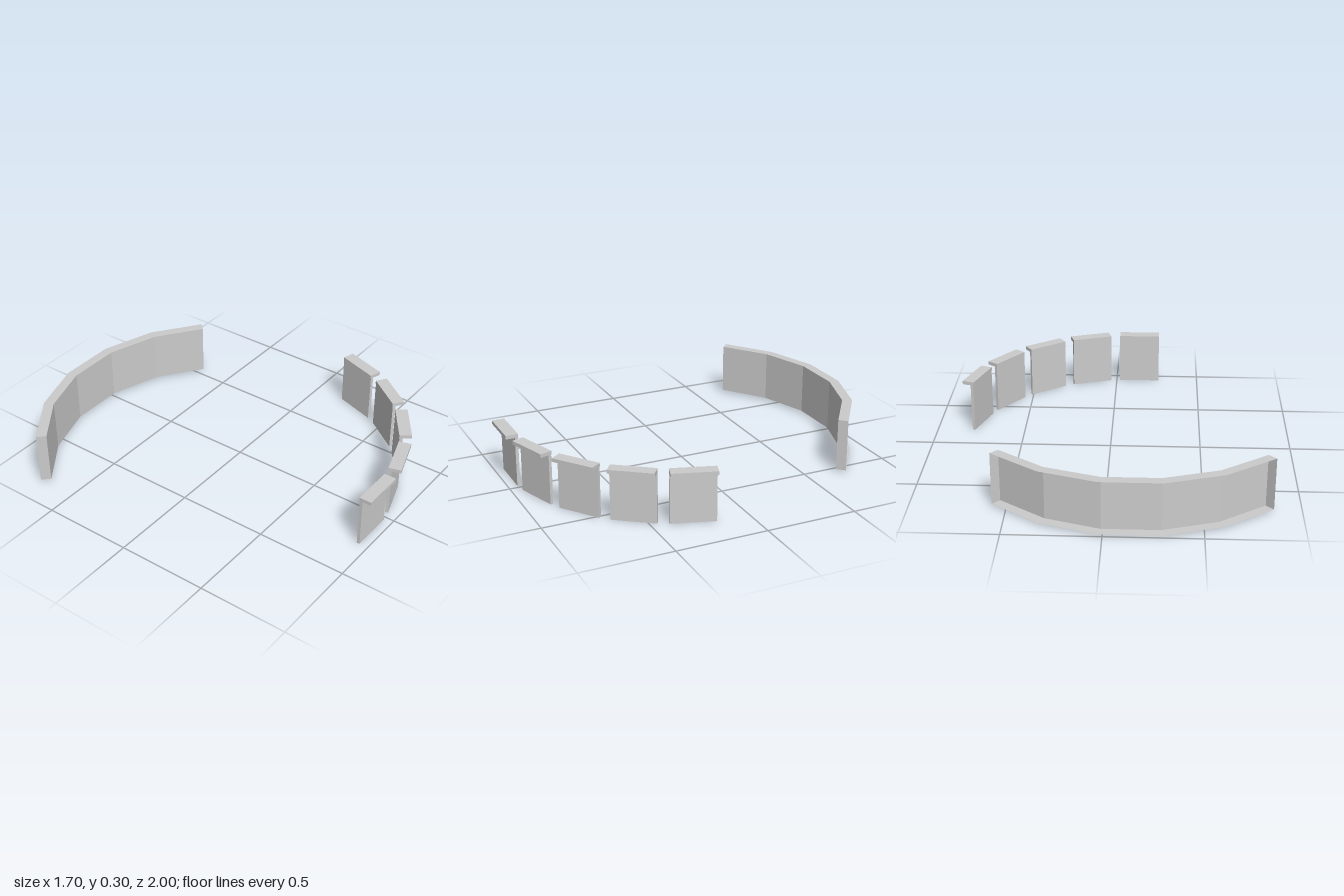
import * as THREE from 'three';

const CX = -0.14; // x of the common centre of both arcs
const STEP = Math.PI / 10; // 18 degrees per segment

export function createModel() {
  const model = new THREE.Group();
  const material = new THREE.MeshStandardMaterial({ color: 0xcccccc, flatShading: true, side: THREE.DoubleSide });

  const addBox = (parent, name, w, y0, y1, r0, r1) => {
    const mesh = new THREE.Mesh(new THREE.BoxGeometry(w, y1 - y0, r1 - r0), material);
    mesh.position.set(0, (y0 + y1) / 2, (r0 + r1) / 2);
    mesh.name = name;
    parent.add(mesh);
  };

  // Front arc: five thin panels, each with an overhanging ledge
  for (let i = 0; i < 5; i++) {
    const unit = new THREE.Group();
    unit.name = `counterPanel${i + 1}`;
    unit.position.x = CX;
    unit.rotation.y = i * STEP;
    addBox(unit, 'panel', 0.24, 0, 0.275, 0.934, 0.951);
    addBox(unit, 'ledge', 0.24, 0.275, 0.295, 0.932, 1.0);
    model.add(unit);
  }

  // Back arc: channel section swept through five segments, open on its outer side
  const rOut = 1.0 / Math.cos(STEP / 2);
  const rIn = 0.945 / Math.cos(STEP / 2);
  const section = [[rOut, 0.3], [rIn, 0.3], [rIn, 0.012], [rOut, 0.012]];
  const point = (k, j) => {
    const a = (k - 2.5) * STEP;
    const [r, y] = section[j];
    return [r * Math.sin(a), y, -r * Math.cos(a)];
  };
  const positions = [];
  const quad = (a, b, c, d) => positions.push(...a, ...b, ...c, ...a, ...c, ...d);
  for (let k = 0; k < 5; k++) {
    for (let j = 0; j < 3; j++) {
      quad(point(k, j), point(k, j + 1), point(k + 1, j + 1), point(k + 1, j));
    }
  }
  // End caps
  quad(point(0, 0), point(0, 3), point(0, 2), point(0, 1));
  quad(point(5, 0), point(5, 1), point(5, 2), point(5, 3));

  const geometry = new THREE.BufferGeometry();
  geometry.setAttribute('position', new THREE.Float32BufferAttribute(positions, 3));
  geometry.computeVertexNormals();
  const wall = new THREE.Mesh(geometry, material);
  wall.name = 'curvedBackWall';
  wall.position.x = CX;
  model.add(wall);

  return model;
}
